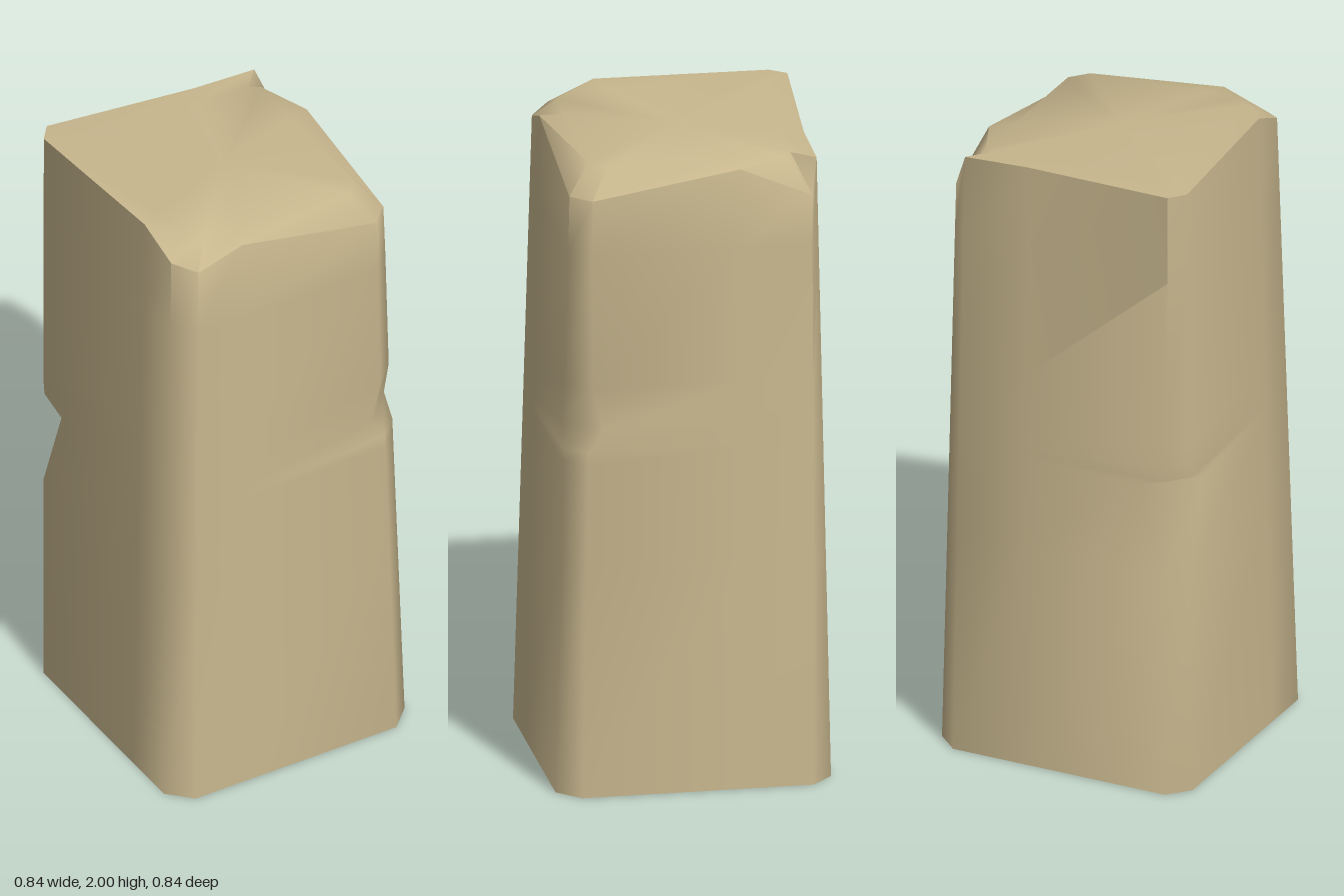
import * as THREE from 'three';
import { toCreasedNormals } from 'three/addons/utils/BufferGeometryUtils.js';

// Outline points, counter-clockwise from above: each side has start, middle, end.
// Foot: x, z. Rim: x, y, z.
const foot = [
  [-0.35, 0.42], [-0.16, 0.42], [0.35, 0.42],
  [0.42, 0.35], [0.42, -0.14], [0.42, -0.355],
  [0.35, -0.42], [0.12, -0.42], [-0.36, -0.42],
  [-0.42, -0.355], [-0.42, 0.17], [-0.42, 0.35],
];
const rim = [
  [-0.31, 1.92, 0.37], [-0.16, 1.97, 0.375], [0.31, 1.87, 0.37],
  [0.37, 1.87, 0.31], [0.37, 1.945, -0.14], [0.37, 1.85, -0.36],
  [0.33, 1.955, -0.38], [0.12, 1.965, -0.38], [-0.37, 1.985, -0.42],
  [-0.41, 1.985, -0.37], [-0.38, 2.0, 0.17], [-0.37, 1.94, 0.31],
];

// Levels: height, extra chamfer at the front left notch and at the back right notch
const levels = [
  [0, 0, 0], [0.72, 0, 0], [1.01, 0, 0.1], [1.04, 0, 0.005],
  [1.08, 0, 0], [1.15, 0.045, 0], [1.28, 0.008, 0], [1.7, 0, 0],
];

// Point i of the outline at height y
function outlinePoint(i, y) {
  const t = y / rim[i][1];
  return new THREE.Vector3(
    THREE.MathUtils.lerp(foot[i][0], rim[i][0], t), y,
    THREE.MathUtils.lerp(foot[i][1], rim[i][2], t));
}

// One horizontal ring, with chamfer points slid along their walls at the notches
function ring([y, frontNotch, backNotch]) {
  return foot.map((_, i) => {
    const p = outlinePoint(i, y);
    const slide = i === 2 || i === 3 ? frontNotch : i === 8 || i === 9 ? backNotch : 0;
    if (slide > 0) {
      const middle = outlinePoint(Math.floor(i / 3) * 3 + 1, y);
      p.addScaledVector(middle.sub(p).normalize(), slide);
    }
    return p;
  });
}

function stoneGeometry() {
  const rings = levels.map(ring);
  rings.push(rim.map((p) => new THREE.Vector3(...p)));
  // Gently sloping top, inset from the rim
  rings.push(rim.map(([x, , z]) => new THREE.Vector3(x * 0.82, 1.972 - 0.06 * x * 0.82, z * 0.82)));

  const n = foot.length;
  const positions = [];
  const triangle = (...points) => points.forEach((p) => positions.push(p.x, p.y, p.z));
  for (let k = 0; k < rings.length - 1; k++) {
    for (let i = 0; i < n; i++) {
      const j = (i + 1) % n;
      triangle(rings[k][i], rings[k][j], rings[k + 1][j]);
      triangle(rings[k][i], rings[k + 1][j], rings[k + 1][i]);
    }
  }
  // Top and underside
  const topCentre = new THREE.Vector3(0, 1.976, 0);
  const baseCentre = new THREE.Vector3(0, 0, 0);
  const last = rings[rings.length - 1];
  for (let i = 0; i < n; i++) {
    const j = (i + 1) % n;
    triangle(last[i], last[j], topCentre);
    triangle(rings[0][j], rings[0][i], baseCentre);
  }
  const geometry = new THREE.BufferGeometry();
  geometry.setAttribute('position', new THREE.Float32BufferAttribute(positions, 3));
  return toCreasedNormals(geometry, 0.95);
}

export function createModel() {
  const sandstone = new THREE.MeshStandardMaterial({ color: 0xc8b78e });
  sandstone.name = 'sandstone';
  const pillar = new THREE.Mesh(stoneGeometry(), sandstone);
  pillar.name = 'stonePillar';
  const group = new THREE.Group();
  group.name = 'chippedStoneBlock';
  group.add(pillar);
  return group;
}
